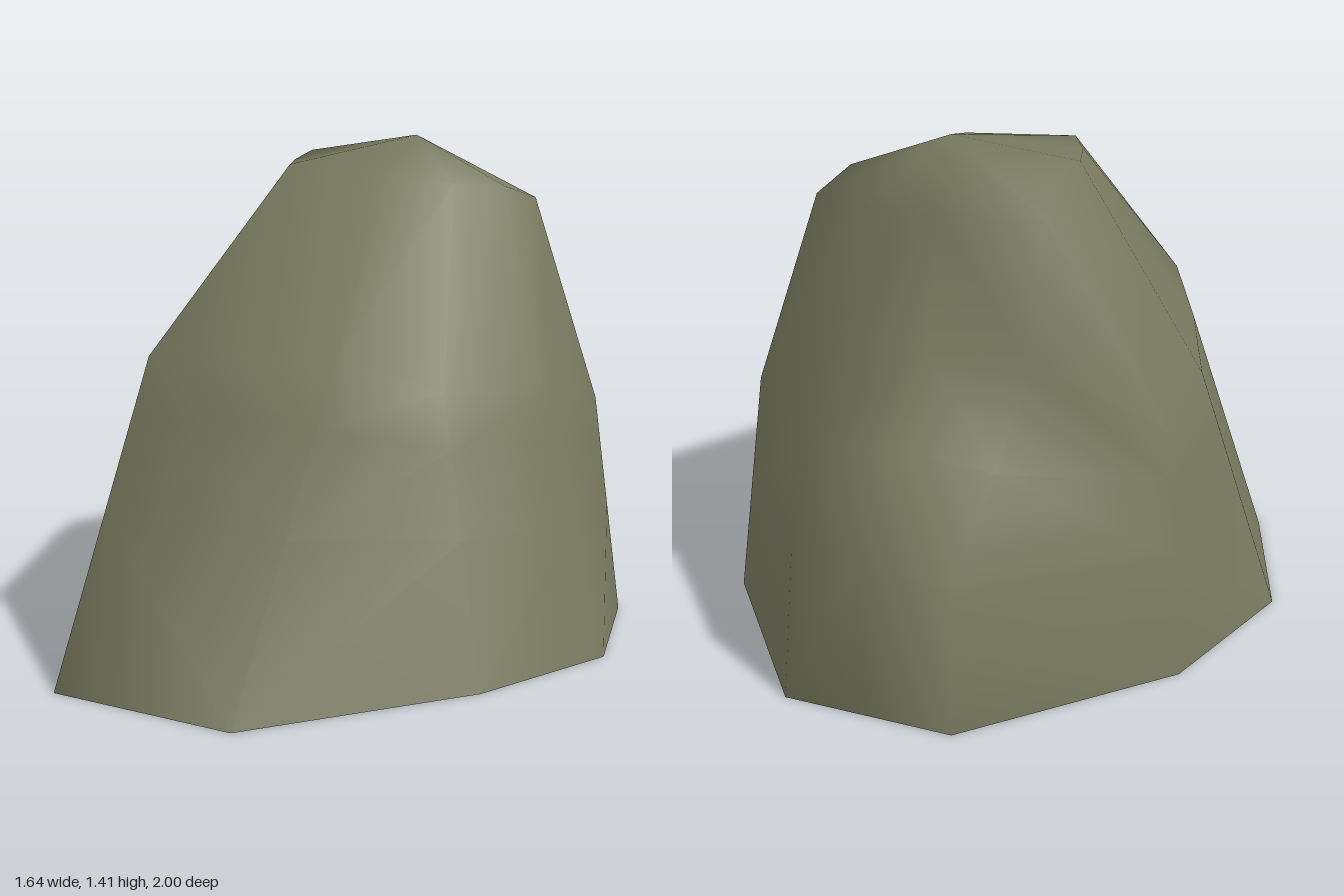
import * as THREE from 'three';

// Each column runs up the boulder: foot, shoulder and crown points.
// Back columns add two bulge points between foot and shoulder.
const COLUMNS = [
  { foot: [0.28, 0, 1], shoulder: [0.29, 0.86, 0.52], crown: [0.14, 1.31, 0] },
  { foot: [0.67, 0, 0.43], shoulder: [0.47, 0.75, 0.27], crown: [0.28, 1.28, -0.13] },
  { foot: [0.82, 0, -0.02], shoulder: [0.6, 0.73, -0.07], crown: [0.37, 1.27, -0.27] },
  { foot: [0.67, 0, -0.48], shoulder: [0.61, 0.65, -0.41], crown: [0.4, 1.23, -0.42] },
  { foot: [0.28, 0, -0.96], bulge: [[0.28, 0.42, -0.88], [0.28, 0.66, -0.73]], shoulder: [0.3, 0.9, -0.57], crown: [0.25, 1.23, -0.49] },
  { foot: [0.04, 0, -0.96], bulge: [[0.04, 0.48, -1], [-0.03, 0.73, -0.84]], shoulder: [0, 0.91, -0.62], crown: [0, 1.25, -0.52] },
  { foot: [-0.2, 0, -0.96], bulge: [[-0.19, 0.4, -0.91], [-0.23, 0.64, -0.71]], shoulder: [-0.28, 0.9, -0.58], crown: [-0.28, 1.27, -0.51] },
  { foot: [-0.67, 0, -0.48], shoulder: [-0.6, 0.69, -0.42], crown: [-0.28, 1.34, -0.42] },
  { foot: [-0.82, 0, -0.02], shoulder: [-0.6, 0.73, -0.1], crown: [-0.3, 1.36, -0.29] },
  { foot: [-0.67, 0, 0.43], shoulder: [-0.48, 0.75, 0.24], crown: [-0.25, 1.34, -0.12] },
  { foot: [-0.28, 0, 1], shoulder: [-0.36, 0.81, 0.47], crown: [-0.18, 1.33, 0.02] },
];
const PEAK = [0.04, 1.41, -0.34];
const BACK = 5; // column on the back ridge, where the facet diagonals turn over

const mix = (a, b, t) => a.map((v, i) => v + (b[i] - v) * t);

function boulderGeometry() {
  const positions = [];
  const index = [];
  const rows = 5;
  const count = COLUMNS.length;

  for (const { foot, bulge, shoulder, crown } of COLUMNS) {
    const [low, high] = bulge ?? [mix(foot, shoulder, 0.5), mix(foot, shoulder, 0.8)];
    positions.push(...foot, ...low, ...high, ...shoulder, ...crown);
  }
  positions.push(...PEAK);
  const peak = count * rows;

  // Side walls, then the fan closing the top; the underside stays open
  for (let i = 0; i < count; i++) {
    const left = i * rows;
    const right = ((i + 1) % count) * rows;
    for (let r = 0; r < rows - 1; r++) {
      const [a, b, c, d] = [left + r, right + r, right + r + 1, left + r + 1];
      if (i < BACK) index.push(a, b, c, a, c, d);
      else index.push(a, b, d, b, c, d);
    }
    index.push(left + rows - 1, right + rows - 1, peak);
  }

  const geometry = new THREE.BufferGeometry();
  geometry.setAttribute('position', new THREE.Float32BufferAttribute(positions, 3));
  geometry.setIndex(index);
  geometry.computeVertexNormals();
  return geometry;
}

export function createModel() {
  const stone = new THREE.MeshStandardMaterial({ color: 0x78795f, side: THREE.DoubleSide });
  stone.name = 'mossy stone';

  const boulder = new THREE.Mesh(boulderGeometry(), stone);
  boulder.name = 'boulder';

  const group = new THREE.Group();
  group.name = 'rock';
  group.add(boulder);
  return group;
}
